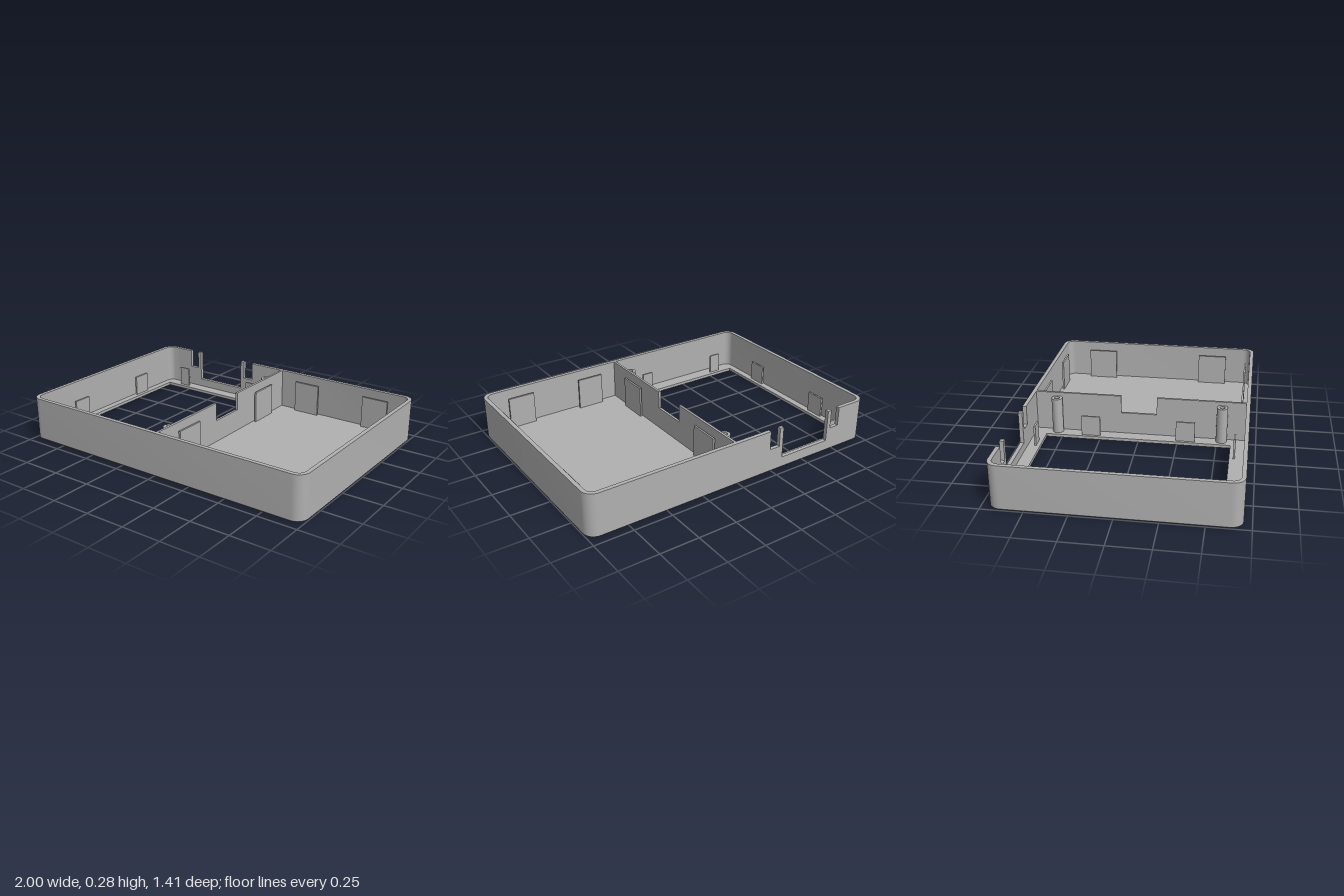
import * as THREE from 'three';
import { toCreasedNormals } from 'three/addons/utils/BufferGeometryUtils.js';

const W = 1, D = 0.703, H = 0.28, R = 0.07; // half width, half depth, height, corner radius
const T = 0.025;                            // wall thickness
const CHAMFER = 0.01, FLOOR = 0.02;

// Rounded rectangle outline, clockwise from the back edge's +x end
function roundedPoints(w, d, r) {
  const pts = [];
  [[1, 1], [1, -1], [-1, -1], [-1, 1]].forEach(([sx, sy], i) => {
    for (let k = 0; k <= 8; k++) {
      const a = Math.PI / 2 * (1 - i - k / 8);
      pts.push(new THREE.Vector2(sx * (w - r) + r * Math.cos(a), sy * (d - r) + r * Math.sin(a)));
    }
  });
  return pts;
}

const polygon = (pts) => new THREE.Shape(pts.map(([x, y]) => new THREE.Vector2(x, y)));

const extrude = (shape, depth) =>
  new THREE.ExtrudeGeometry(shape, { depth, bevelEnabled: false, curveSegments: 12 });

// Plan shape (y = towards the back) raised from y0 to y1
const raise = (shape, y0, y1) => extrude(shape, y1 - y0).rotateX(-Math.PI / 2).translate(0, y0, 0);

export function createModel() {
  const group = new THREE.Group();
  const grey = new THREE.MeshStandardMaterial({ color: 0xb0b0b0 });
  grey.name = 'grey plastic';

  const add = (name, geometry) => {
    const mesh = new THREE.Mesh(toCreasedNormals(geometry, 0.6), grey);
    mesh.name = name;
    group.add(mesh);
  };

  const withWindow = (pts) => {
    const shape = new THREE.Shape(pts);
    shape.holes.push(polygon([[-0.93, -0.59], [-0.07, -0.59], [-0.07, 0.6], [-0.93, 0.6]]));
    return shape;
  };

  // Base plate, its lower outer edge pulled in to form a chamfer
  const base = raise(withWindow(roundedPoints(W, D, R)), 0, CHAMFER);
  const p = base.attributes.position;
  for (let i = 0; i < p.count; i++) {
    const x = p.getX(i), z = p.getZ(i);
    if (p.getY(i) < CHAMFER / 2 && (Math.abs(x) > 0.94 || Math.abs(z) > 0.62)) {
      p.setX(i, x * (1 - CHAMFER / W));
      p.setZ(i, z * (1 - CHAMFER / D));
    }
  }
  base.computeVertexNormals();
  add('basePlate', base);
  add('floor', raise(withWindow(roundedPoints(W - T, D - T, R - T)), CHAMFER, FLOOR));

  // Outer wall, open at the back where the notched panel fits
  const gapL = -0.88, gapR = -0.1;
  const wall = new THREE.Shape([
    new THREE.Vector2(gapR, D), ...roundedPoints(W, D, R), new THREE.Vector2(gapL, D),
    new THREE.Vector2(gapL, D - T), ...roundedPoints(W - T, D - T, R - T).reverse(),
    new THREE.Vector2(gapR, D - T),
  ]);
  add('outerWall', raise(wall, CHAMFER, H));

  // Back panel with a wide cutout between two slim posts
  const slot = 0.157, sill = 0.075;
  add('notchedBackPanel', extrude(polygon([
    [gapL, CHAMFER], [gapR, CHAMFER], [gapR, H],
    [-0.23, H], [-0.23, slot], [-0.3, slot], [-0.3, H], [-0.327, H], [-0.327, sill],
    [-0.686, sill], [-0.686, H], [-0.713, H], [-0.713, slot], [-0.777, slot], [-0.777, H],
    [gapL, H],
  ]), T).translate(0, 0, -D));

  // Divider with a lowered middle
  const e = D - T, low = 0.163;
  add('divider', extrude(polygon([
    [-e, FLOOR], [e, FLOOR], [e, H], [0.12, H], [0.12, low], [-0.11, low], [-0.11, H], [-e, H],
  ]), 0.016).rotateY(Math.PI / 2).translate(0.012, 0, 0));

  // Screw posts beside the divider
  for (const z of [-0.535, 0.53]) {
    const ring = new THREE.Shape().absarc(0, 0, 0.035, 0, Math.PI * 2);
    ring.holes.push(new THREE.Path().absarc(0, 0, 0.017, 0, Math.PI * 2));
    add('screwPost', raise(ring, FLOOR, 0.255).translate(-0.016, 0, z));
  }

  // Upright retaining tabs standing just inside the walls
  const tab = (name, x, z, w, d, top) =>
    add(name, new THREE.BoxGeometry(w, top - FLOOR, d).translate(x, (top + FLOOR) / 2, z));
  const thin = 0.012;
  for (const z of [-0.657, 0.648])
    for (const x of [0.238, 0.747]) tab('tallTab', x, z, 0.176, thin, 0.228);
  for (const x of [0.043, 0.943])
    for (const z of [-0.41, 0.405]) tab('tallTab', x, z, thin, 0.198, 0.228);
  for (const z of [-0.63, 0.62])
    for (const x of [-0.802, -0.208]) tab('shortTab', x, z, 0.076, thin, 0.152);
  for (const x of [-0.96, -0.047])
    for (const z of [-0.31, 0.302]) tab('shortTab', x, z, thin, 0.122, 0.152);

  return group;
}
